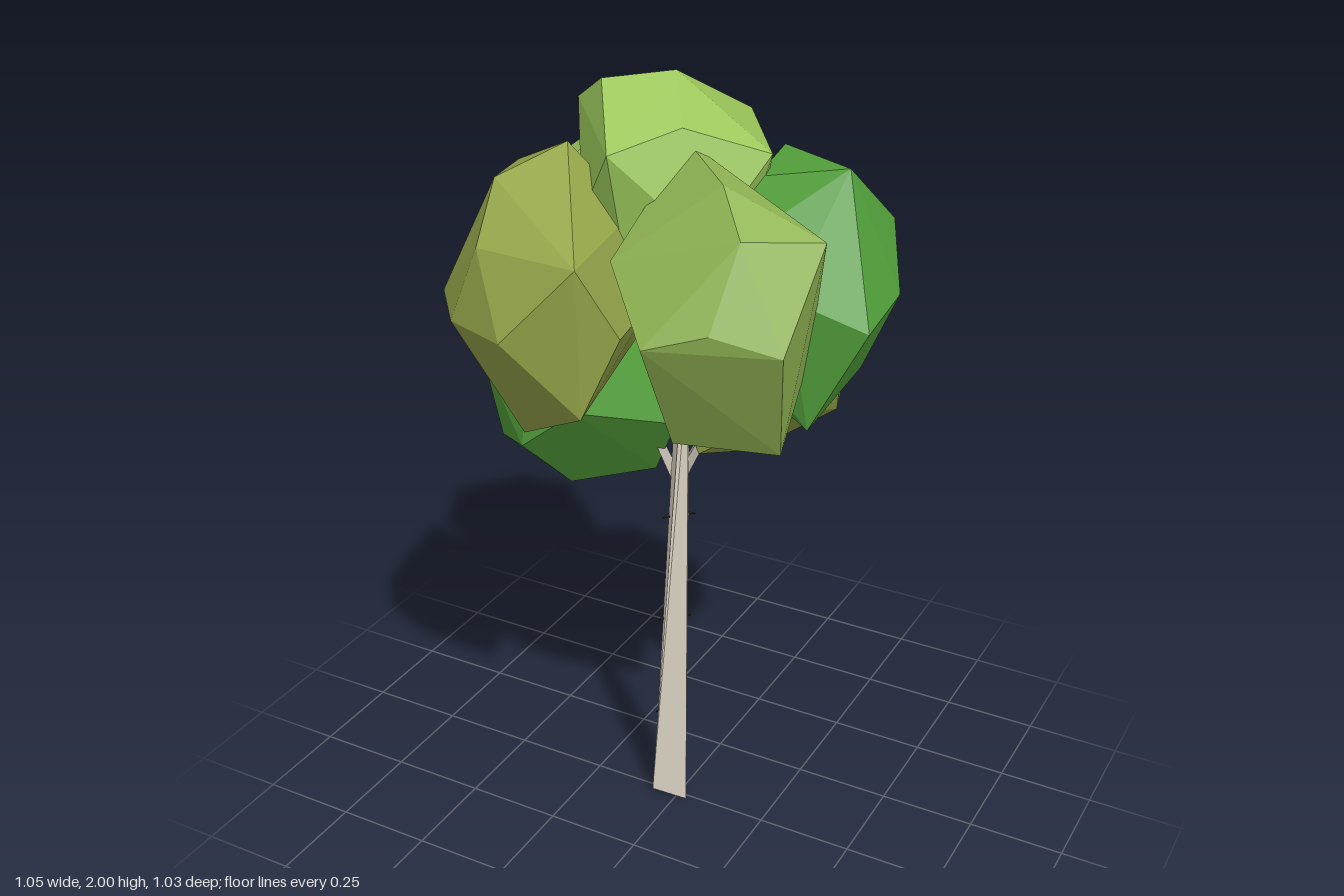
import * as THREE from 'three';
import { ConvexGeometry } from 'three/addons/geometries/ConvexGeometry.js';

const flat = (color) => new THREE.MeshStandardMaterial({ color, flatShading: true });

// Faceted leaf clump: an ellipsoid of evenly spread points, with a few
// outstanding corners that replace the points near them
function leafClump(name, color, centre, radii, corners) {
  const c = new THREE.Vector3(...centre), r = new THREE.Vector3(...radii);
  const points = corners.map((p) => new THREE.Vector3(...p));
  const dirs = points.map((p) => p.clone().sub(c).divide(r).normalize());
  const count = 26;
  for (let i = 0; i < count; i++) {
    const y = 1 - (2 * i + 1) / count, a = i * 2.39996, s = Math.sqrt(1 - y * y);
    const dir = new THREE.Vector3(s * Math.cos(a), y, s * Math.sin(a));
    if (dirs.every((d) => d.dot(dir) < 0.82)) points.push(dir.multiplyScalar(0.96).multiply(r).add(c));
  }
  const mesh = new THREE.Mesh(new ConvexGeometry(points), flat(color));
  mesh.name = name;
  return mesh;
}

// Four-sided solid between a bottom and a top loop of corners
function loft(bottom, top) {
  const index = [0, 2, 1, 0, 3, 2, 4, 5, 6, 4, 6, 7];
  for (let i = 0; i < 4; i++) {
    const j = (i + 1) % 4;
    index.push(i, j, j + 4, i, j + 4, i + 4);
  }
  const geo = new THREE.BufferGeometry();
  geo.setAttribute('position', new THREE.Float32BufferAttribute([...bottom, ...top].flat(), 3));
  geo.setIndex(index);
  const out = geo.toNonIndexed();
  out.computeVertexNormals();
  return out;
}

function branch(from, to) {
  const a = new THREE.Vector3(...from), b = new THREE.Vector3(...to);
  const dir = b.clone().sub(a);
  const mesh = new THREE.Mesh(new THREE.CylinderGeometry(0.008, 0.016, dir.length(), 3), flat(0xb5aea4));
  mesh.position.copy(a).add(b).multiplyScalar(0.5);
  mesh.quaternion.setFromUnitVectors(new THREE.Vector3(0, 1, 0), dir.normalize());
  mesh.name = 'branch';
  return mesh;
}

export function createModel() {
  const tree = new THREE.Group();
  tree.name = 'tree';

  // Leaning, twisting, nearly three-sided trunk
  const base = [[-0.065, 0.01, 0.03], [0.03, 0, 0.015], [-0.018, 0, -0.045], [-0.07, 0.01, 0.015]];
  const tip = [[0.052, 1.32, 0.075], [0.058, 1.32, 0.06], [0.04, 1.32, 0.02], [0.013, 1.32, 0.03]];
  const trunk = new THREE.Mesh(loft(base, tip), flat(0xe8e0d0));
  trunk.name = 'trunk';
  tree.add(trunk);

  // Short branches reaching into the lower leaf clumps
  tree.add(
    branch([-0.005, 0.98, 0.01], [-0.14, 1.25, 0.02]),
    branch([0.015, 1.0, 0.01], [0.1, 1.25, -0.15]),
  );

  // Thin dark bark marks across the rear right face of the trunk
  const bark = new THREE.MeshStandardMaterial({ color: 0x2a2826, flatShading: true, side: THREE.DoubleSide });
  for (const y of [0.27, 0.57, 0.88]) {
    const at = (i) => new THREE.Vector3(...base[i]).lerp(new THREE.Vector3(...tip[i]), y / 1.32);
    const middle = at(2).lerp(at(3), 0.5);
    const geo = new THREE.CylinderGeometry(1, 1, 0.003, 3).scale(0.05, 1, 0.022);
    const mark = new THREE.Mesh(geo, bark);
    mark.position.set(middle.x, y, middle.z);
    mark.rotation.y = -Math.PI * 0.75;
    mark.name = 'barkMark';
    tree.add(mark);
  }

  // Crown: name, colour, centre, radii, outstanding corners
  const olive = 0x95a64a, light = 0x9ac75a, green = 0x529f3a;
  tree.add(
    leafClump('frontRightLeaves', olive, [-0.2, 1.53, 0.25], [0.25, 0.32, 0.25], [
      [-0.165, 1.5, 0.515], [-0.17, 1.865, 0.2], [-0.45, 1.5, 0.31], [0.055, 1.5, 0.37],
      [0, 1.68, 0.46], [-0.21, 1.21, 0.36], [-0.02, 1.31, 0.42], [-0.36, 1.77, 0.11]]),
    leafClump('frontLeftLeaves', 0x90b454, [0.23, 1.54, 0.21], [0.23, 0.31, 0.23], [
      [0.155, 1.53, 0.46], [0.07, 1.87, 0.09], [0.235, 1.84, 0.24], [0.45, 1.73, 0.18],
      [0.44, 1.53, 0.36], [0.385, 1.24, 0.24], [0.145, 1.24, 0.3], [0.01, 1.66, 0.33]]),
    leafClump('leftLeaves', green, [0.28, 1.54, -0.06], [0.24, 0.29, 0.23], [
      [0.415, 1.83, -0.015], [0.525, 1.54, -0.07], [0.52, 1.5, 0.09], [0.465, 1.68, -0.165],
      [0.305, 1.6, -0.285], [0.385, 1.24, 0.1], [0.2, 1.82, -0.14], [0.065, 1.6, -0.24]]),
    leafClump('topLeaves', light, [-0.01, 1.73, 0], [0.23, 0.26, 0.26], [
      [0, 2, 0.01], [0.065, 1.86, -0.24], [-0.245, 1.83, -0.12], [-0.25, 1.91, 0.02],
      [-0.14, 1.985, 0.1], [-0.03, 1.87, 0.27], [0.235, 1.84, 0]]),
    leafClump('backRightLeaves', light, [-0.29, 1.5, -0.25], [0.23, 0.28, 0.25], [
      [-0.275, 1.455, -0.52], [-0.175, 1.64, -0.46], [-0.06, 1.6, -0.3], [-0.32, 1.78, -0.235],
      [-0.525, 1.63, -0.24], [-0.44, 1.6, -0.03], [-0.485, 1.39, -0.15], [-0.2, 1.37, -0.435]]),
    leafClump('backLeftLeaves', olive, [0.1, 1.26, -0.2], [0.24, 0.27, 0.23], [
      [0.105, 0.985, -0.205], [0.155, 1.16, -0.435], [0.035, 1.38, -0.435], [0.315, 1.34, -0.34],
      [0.345, 1.25, -0.18], [0.31, 1.13, -0.25], [0.05, 1.05, -0.01], [-0.13, 1.35, -0.37]]),
    leafClump('lowerRightLeaves', green, [-0.23, 1.2, 0.03], [0.26, 0.26, 0.23], [
      [-0.5, 1.24, 0.1], [-0.415, 1.065, 0.15], [-0.26, 0.94, 0.085], [-0.075, 0.975, -0.02],
      [-0.3, 1.1, 0.24], [0.02, 1.15, 0.05], [-0.45, 1.35, -0.05], [-0.15, 1.22, 0.24]]),
  );
  return tree;
}
